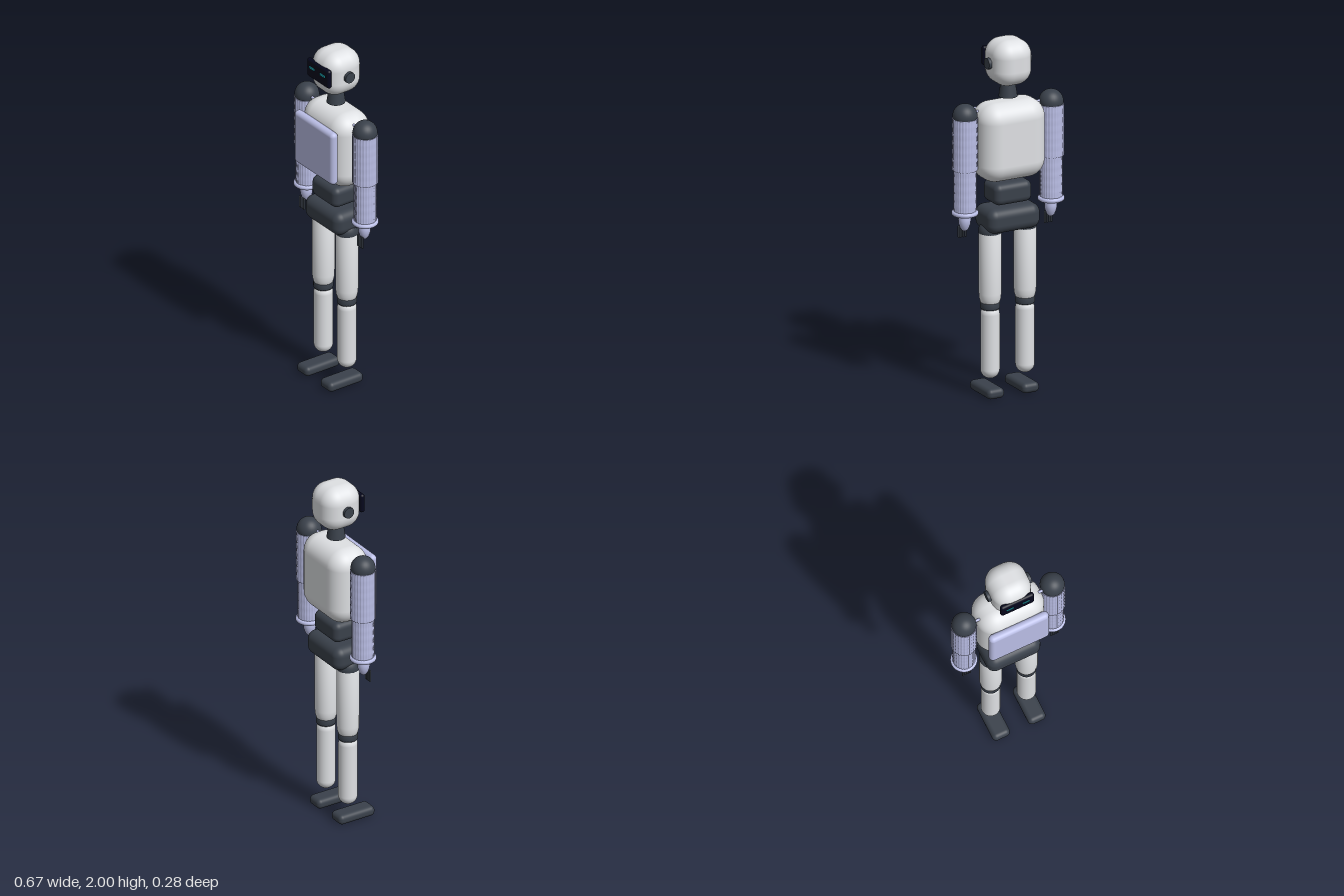
import * as THREE from 'three';
import { RoundedBoxGeometry } from 'three/addons/geometries/RoundedBoxGeometry.js';

const mat = (name, color) => {
  const m = new THREE.MeshStandardMaterial({ color });
  m.name = name;
  return m;
};

// Cylinder with vertical flutes and a faint ripple along its length
function flutedSleeve(radius, height) {
  const flutes = 26;
  const g = new THREE.CylinderGeometry(radius, radius, height, flutes * 4, 20);
  const p = g.attributes.position;
  for (let i = 0; i < p.count; i++) {
    const x = p.getX(i), z = p.getZ(i);
    const a = Math.atan2(z, x);
    const k = 0.95 + 0.05 * Math.abs(Math.cos(a * flutes / 2)) + 0.008 * Math.sin(p.getY(i) * 130);
    p.setX(i, x * k);
    p.setZ(i, z * k);
  }
  g.computeVertexNormals();
  return g;
}

export function createModel() {
  const shell = mat('light shell', 0xdfe1e4);
  const dark = mat('dark joint', 0x3a414b);
  const lilac = mat('lilac panel', 0xbcc0e8);
  const black = mat('visor black', 0x05071c);
  const cyan = mat('eye cyan', 0x22b5c4);

  const model = new THREE.Group();
  model.name = 'robot';
  const add = (parent, name, geo, material, x, y, z) => {
    const m = new THREE.Mesh(geo, material);
    m.name = name;
    m.position.set(x, y, z);
    parent.add(m);
    return m;
  };
  // Rounded box given by half width, y range, z range and edge radius
  const block = (parent, name, material, hw, y0, y1, z0, z1, r, x = 0) =>
    add(parent, name, new RoundedBoxGeometry(hw * 2, y1 - y0, z1 - z0, 6, r), material,
      x, (y0 + y1) / 2, (z0 + z1) / 2);

  const zc = -0.016; // body axis

  // Head, visor and neck
  const head = new THREE.Group();
  head.name = 'head';
  model.add(head);
  block(head, 'skull', shell, 0.113, 1.745, 2.0, -0.135, 0.1, 0.09);
  block(head, 'visor', black, 0.099, 1.828, 1.937, 0.079, 0.108, 0.014);
  for (const s of [-1, 1]) {
    add(head, 'eye', new THREE.BoxGeometry(0.042, 0.011, 0.006), cyan, s * 0.047, 1.893, 0.11);
    const ear = add(head, 'earDisc', new THREE.CylinderGeometry(0.031, 0.031, 0.04, 32), dark, s * 0.11, 1.873, zc);
    ear.rotation.z = Math.PI / 2;
  }
  add(model, 'neck', new THREE.CylinderGeometry(0.038, 0.051, 0.09, 32), dark, 0, 1.718, zc);

  // Torso, waist and pelvis
  block(model, 'torso', shell, 0.195, 1.215, 1.655, -0.14, 0.1, 0.1);
  block(model, 'chestPlate', lilac, 0.176, 1.278, 1.592, 0.09, 0.139, 0.024);
  block(model, 'waist', dark, 0.113, 1.082, 1.202, -0.093, 0.073, 0.036);
  block(model, 'pelvis', dark, 0.158, 0.93, 1.068, -0.114, 0.092, 0.05);

  for (const s of [-1, 1]) {
    // Arm
    const arm = new THREE.Group();
    arm.name = s > 0 ? 'leftArm' : 'rightArm';
    arm.position.set(s * 0.262, 0, zc);
    model.add(arm);
    add(arm, 'shoulder', new THREE.SphereGeometry(0.067, 32, 24), dark, 0, 1.602, 0);
    const pin = add(arm, 'shoulderPin', new THREE.CylinderGeometry(0.007, 0.01, 0.08, 12), lilac, -s * 0.06, 1.61, 0.012);
    pin.rotation.z = s * Math.PI / 2;
    add(arm, 'upperSleeve', flutedSleeve(0.07, 0.29), lilac, 0, 1.445, 0);
    add(arm, 'lowerSleeve', flutedSleeve(0.062, 0.25), lilac, 0, 1.185, 0);
    const cuff = add(arm, 'cuff', new THREE.TorusGeometry(0.06, 0.013, 12, 40), lilac, 0, 1.057, 0);
    cuff.rotation.x = Math.PI / 2;
    add(arm, 'wristDisc', new THREE.CylinderGeometry(0.05, 0.05, 0.01, 32), dark, 0, 1.056, 0);

    // Hand: tapered palm and four fingers
    const palm = [[0, 0.955], [0.014, 0.957], [0.023, 0.97], [0.032, 0.995], [0.034, 1.02], [0.028, 1.06]];
    add(arm, 'palm', new THREE.LatheGeometry(palm.map(q => new THREE.Vector2(...q)), 28), lilac, 0, 0, 0.004);
    for (let i = 0; i < 4; i++)
      add(arm, 'finger', new THREE.CapsuleGeometry(0.0055, 0.06, 4, 10), dark, (i - 1.5) * 0.0135, 0.943, 0.032);

    // Leg
    const leg = new THREE.Group();
    leg.name = s > 0 ? 'leftLeg' : 'rightLeg';
    leg.position.set(s * 0.106, 0, -0.01);
    model.add(leg);
    add(leg, 'hip', new THREE.SphereGeometry(0.063, 32, 24), dark, 0, 0.93, 0);
    const thigh = [[0, 0.51], [0.045, 0.515], [0.052, 0.53], [0.058, 0.55], [0.061, 0.58], [0.062, 0.93], [0, 0.93]];
    add(leg, 'thigh', new THREE.LatheGeometry(thigh.map(q => new THREE.Vector2(...q)), 36), shell, 0, 0, 0);
    const knee = [[0, 0.49], [0.05, 0.492], [0.054, 0.5], [0.054, 0.525], [0.05, 0.533], [0, 0.535]];
    add(leg, 'knee', new THREE.LatheGeometry(knee.map(q => new THREE.Vector2(...q)), 36), dark, 0, 0, 0);
    add(leg, 'shin', new THREE.CapsuleGeometry(0.052, 0.31, 12, 36), shell, 0, 0.307, 0);
    block(leg, 'foot', dark, 0.051, 0, 0.057, -0.08, 0.147, 0.025);
  }
  return model;
}
